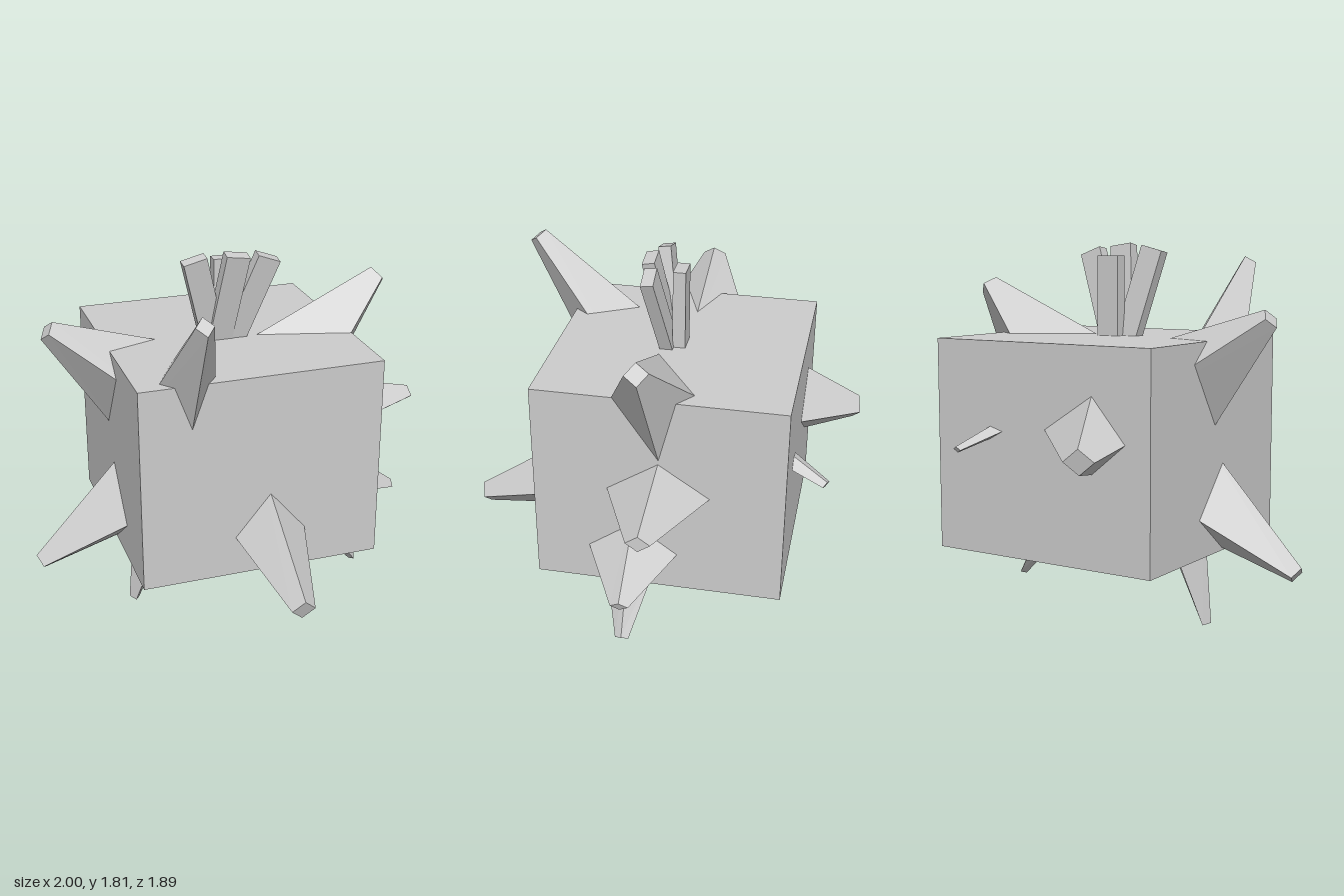
import * as THREE from 'three';

const V = (p) => new THREE.Vector3(...p);
const UP = [0, 1, 0], SIDE = [1, 0, 0];

// Four-sided tapering prism from point `from` to point `to`.
// fromSize / toSize are [half width along ref, half width across it];
// the root is carried on by `sink` along the same taper.
function taper(from, to, fromSize, toSize, ref, sink) {
  const A = V(from), T = V(to);
  const y = T.clone().sub(A);
  const length = y.length();
  y.normalize();
  const x = V(ref).addScaledVector(y, -V(ref).dot(y)).normalize();
  const z = x.clone().cross(y);
  const k = sink / length;
  const root = fromSize.map((s, i) => s + (s - toSize[i]) * k);
  let geo = new THREE.CylinderGeometry(1, 1, 1, 4);
  const pos = geo.attributes.position;
  for (let i = 0; i < pos.count; i++) {
    const top = pos.getY(i) > 0;
    const size = top ? toSize : root;
    pos.setXYZ(i, pos.getX(i) * size[0], top ? length : -sink, pos.getZ(i) * size[1]);
  }
  geo = geo.toNonIndexed();
  geo.applyMatrix4(new THREE.Matrix4().makeBasis(x, y, z).setPosition(A));
  geo.computeVertexNormals();
  return geo;
}

export function createModel() {
  const model = new THREE.Group();
  model.name = 'spikyCube';
  const grey = new THREE.MeshStandardMaterial({ color: 0xcccccc });
  grey.name = 'paleGrey';
  const add = (name, geo) => {
    const mesh = new THREE.Mesh(geo, grey);
    mesh.name = name;
    model.add(mesh);
    return mesh;
  };

  // Cube body
  add('body', new THREE.BoxGeometry(1.165, 0.995, 1.165)).position.set(-0.0075, 0.8775, -0.0975);

  // Spikes: name, root, tip, root half sizes, tip half sizes, reference direction
  const spikes = [
    ['frontSpike', [0.03, 0.575, 0.485], [0.03, 0.415, 0.925], [0.175, 0.172], [0.056, 0.056], UP],
    ['leftMiddleSpike', [0.575, 0.898, -0.1], [1.0, 0.92, -0.1], [0.158, 0.238], [0.037, 0.055], UP],
    ['leftLowerSpike', [0.575, 0.567, 0.02], [0.87, 0.46, 0.02], [0.124, 0.21], [0.025, 0.042], UP],
    ['leftUpperSpike', [0.413, 1.257, -0.06], [0.768, 1.607, -0.05], [0.242, 0.242], [0.054, 0.054], [0.69, -0.7, -0.17]],
    ['frontUpperSpike', [-0.345, 1.272, 0.339], [-0.345, 1.72, 0.69], [0.183, 0.155], [0.05, 0.042], UP],
    ['rightUpperSpike', [-0.465, 1.185, -0.11], [-0.863, 1.48, -0.11], [0.229, 0.263], [0.049, 0.055], UP],
    ['rightLowerSpike', [-0.555, 0.583, -0.03], [-0.977, 0.315, -0.03], [0.177, 0.235], [0.042, 0.06], UP],
    ['rightFootSpike', [-0.415, 0.38, -0.035], [-0.515, 0.012, -0.035], [0.097, 0.135], [0.026, 0.04], SIDE],
    ['leftFootSpike', [0.432, 0.38, 0.065], [0.65, 0.085, 0.065], [0.077, 0.125], [0.018, 0.033], SIDE],
    ['backLargeSpike', [-0.29, 0.968, -0.68], [-0.39, 0.91, -0.925], [0.167, 0.19], [0.06, 0.068], UP],
    ['backSmallSpike', [0.27, 0.953, -0.68], [0.335, 0.89, -0.84], [0.027, 0.06], [0.015, 0.033], UP],
  ];
  for (const [name, from, to, a, b, ref] of spikes) add(name, taper(from, to, a, b, ref, 0.25));

  // Tuft of leaning slabs on top: base centre, tip centre
  const tuft = [
    [[-0.07, 1.33, -0.055], [-0.187, 1.788, 0.012]],
    [[-0.06, 1.33, -0.045], [0.01, 1.803, 0.05]],
    [[0.0, 1.33, -0.045], [0.17, 1.775, 0.025]],
    [[-0.008, 1.33, -0.092], [-0.008, 1.755, -0.092]],
  ];
  for (const [base, tip] of tuft) {
    const dir = V(tip).sub(V(base));
    const slab = add('tuftSlab', new THREE.BoxGeometry(0.115, dir.length(), 0.06));
    slab.position.copy(V(base).add(V(tip)).multiplyScalar(0.5));
    slab.quaternion.setFromUnitVectors(V(UP), dir.normalize());
  }
  return model;
}
